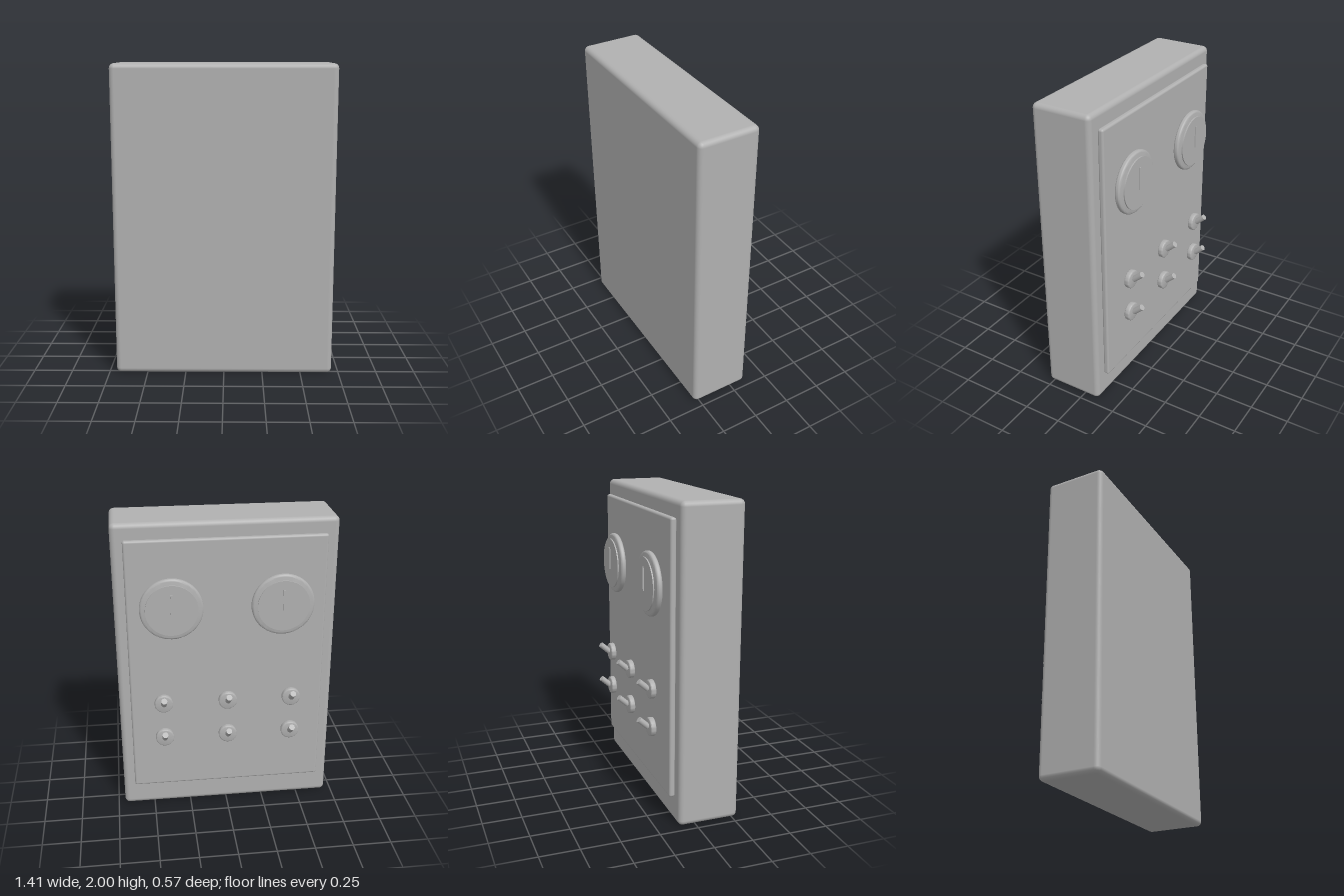
import * as THREE from 'three';
import { toCreasedNormals } from 'three/addons/utils/BufferGeometryUtils.js';
import { RoundedBoxGeometry } from 'three/addons/geometries/RoundedBoxGeometry.js';

export function createModel() {
  const grey = new THREE.MeshStandardMaterial({ color: 0xb0b0b0 });
  grey.name = 'plain grey';
  const model = new THREE.Group();
  model.name = 'controlPanel';

  function add(parent, name, geometry, x, y, z) {
    const mesh = new THREE.Mesh(geometry, grey);
    mesh.name = name;
    mesh.position.set(x, y, z);
    parent.add(mesh);
    return mesh;
  }

  // Disc with rounded rims, its axis along z
  function roundedDisc(radius, depth, bevel) {
    const h = depth / 2;
    const profile = [new THREE.Vector2(0, -h)];
    for (const side of [-1, 1]) {
      for (let i = 0; i <= 3; i++) {
        const a = (side < 0 ? i - 3 : i) * Math.PI / 6;
        profile.push(new THREE.Vector2(
          radius - bevel + bevel * Math.cos(a),
          side * (h - bevel) + bevel * Math.sin(a)));
      }
    }
    profile.push(new THREE.Vector2(0, h));
    const disc = new THREE.LatheGeometry(profile, 48);
    disc.rotateX(Math.PI / 2);
    return toCreasedNormals(disc, 0.6);
  }

  // Case and the raised plate on its back
  add(model, 'case', new RoundedBoxGeometry(1.41, 2, 0.395, 3, 0.032), 0, 1, 0.088);
  add(model, 'panelPlate', new RoundedBoxGeometry(1.262, 1.73, 0.038, 3, 0.014), 0, 1.037, -0.128);

  // Dials: rim, face and needle
  const rim = roundedDisc(0.2, 0.036, 0.014);
  const face = new THREE.CylinderGeometry(0.165, 0.165, 0.008, 48).rotateX(Math.PI / 2);
  const needle = new THREE.BoxGeometry(0.014, 0.148, 0.007);
  for (const x of [-0.35, 0.35]) {
    const dial = new THREE.Group();
    dial.name = x < 0 ? 'rightDial' : 'leftDial';
    dial.position.set(x, 1.47, 0);
    add(dial, 'dialRim', rim, 0, 0, -0.178);
    add(dial, 'dialFace', face, 0, 0, -0.208);
    add(dial, 'dialNeedle', needle, 0, 0.033, -0.218);
    model.add(dial);
  }

  // Two rows of three toggle switches
  const base = roundedDisc(0.06, 0.035, 0.007);
  const lever = new THREE.CylinderGeometry(0.019, 0.019, 0.08, 24);
  for (const y of [0.57, 0.82]) {
    for (const x of [-0.418, 0, 0.418]) {
      const toggle = new THREE.Group();
      toggle.name = 'toggleSwitch';
      toggle.position.set(x, y, 0);
      add(toggle, 'switchBase', base, 0, 0, -0.193);
      add(toggle, 'switchLever', lever, 0, 0.031, -0.243).rotation.x = -0.84;
      model.add(toggle);
    }
  }
  return model;
}
